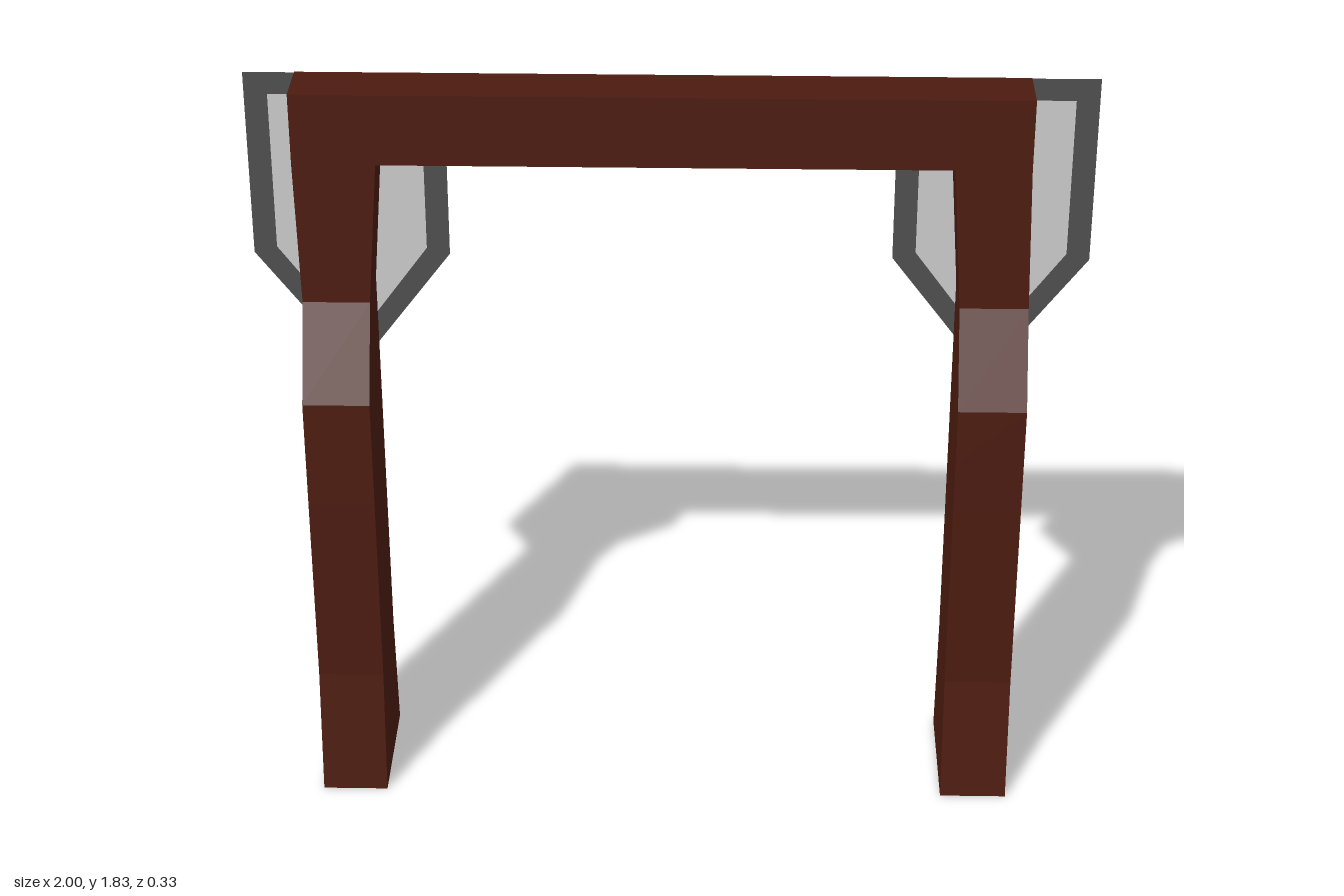
import * as THREE from 'three';

const material = (color) =>
  new THREE.MeshStandardMaterial({ color, flatShading: true, side: THREE.DoubleSide });
const wood = material(0x4d1c10);
const trim = material(0x4f4f4f);
const grey = material(0xcccccc);

function add(parent, name, geometry, mat) {
  const mesh = new THREE.Mesh(geometry, mat);
  mesh.name = name;
  parent.add(mesh);
  return mesh;
}

function quads(list) {
  const points = list.flatMap(([a, b, c, d]) => [a, b, c, a, c, d]).flat();
  const geometry = new THREE.BufferGeometry();
  geometry.setAttribute('position', new THREE.Float32BufferAttribute(points, 3));
  geometry.computeVertexNormals();
  return geometry;
}

// Leg side profile, bottom to top: y, front z, back z
const profile = [
  [0, 0.165, -0.165], [0.32, 0.13, -0.127], [0.81, 0.128, -0.125], [0.94, 0.127, -0.125],
  [1.08, 0.126, -0.124], [1.3, 0.018, -0.122], [1.655, 0.016, -0.12], [1.83, 0.016, -0.12],
];
const greyBacks = [0, 2]; // foot plate and band segments

// Leg with an open bottom; x limits widen towards the beam
function makeLeg(name, lower, upper) {
  const leg = new THREE.Group();
  leg.name = name;
  const rings = profile.map(([y, front, back]) => {
    const t = THREE.MathUtils.clamp((y - 1.3) / 0.355, 0, 1);
    const x0 = THREE.MathUtils.lerp(lower[0], upper[0], t);
    const x1 = THREE.MathUtils.lerp(lower[1], upper[1], t);
    return [[x0, y, front], [x1, y, front], [x1, y, back], [x0, y, back]];
  });
  const post = [], plates = [];
  for (let s = 0; s < rings.length - 1; s++) {
    for (let i = 0; i < 4; i++) {
      const j = (i + 1) % 4;
      const target = i === 2 && greyBacks.includes(s) ? plates : post;
      target.push([rings[s][i], rings[s][j], rings[s + 1][j], rings[s + 1][i]]);
    }
  }
  post.push(rings[rings.length - 1]);
  add(leg, 'post', quads(post), wood);
  add(leg, 'backPlates', quads(plates), grey);
  return leg;
}

// Flat pointed shield: dark rim around a grey panel
function makeShield(name, x) {
  const shield = new THREE.Group();
  shield.name = name;
  const outline = (half, top, shoulder, tip) =>
    [[-half, top], [-half, shoulder], [0, tip], [half, shoulder], [half, top]]
      .map(([px, py]) => new THREE.Vector2(px, py));
  const inner = outline(0.18, 1.77, 1.375, 1.13);
  const rim = new THREE.Shape(outline(0.235, 1.825, 1.36, 1.05));
  rim.holes.push(new THREE.Path(inner));
  add(shield, 'shieldRim', new THREE.ShapeGeometry(rim), trim);
  add(shield, 'shieldPanel', new THREE.ShapeGeometry(new THREE.Shape(inner)), grey);
  // Turned to face backwards, just behind the leg
  shield.rotation.y = Math.PI;
  shield.position.set(x, 0, -0.128);
  return shield;
}

export function createModel() {
  const model = new THREE.Group();
  model.name = 'gateway';

  model.add(makeLeg('rightLeg', [-0.87, -0.71], [-0.877, -0.682]));
  model.add(makeLeg('leftLeg', [0.685, 0.848], [0.66, 0.838]));

  // Crossbeam between the leg tops
  const beam = add(model, 'crossbeam', new THREE.BoxGeometry(1.342, 0.175, 0.136), wood);
  beam.position.set(-0.011, 1.7425, -0.052);

  model.add(makeShield('rightShield', -0.765));
  model.add(makeShield('leftShield', 0.765));
  return model;
}
